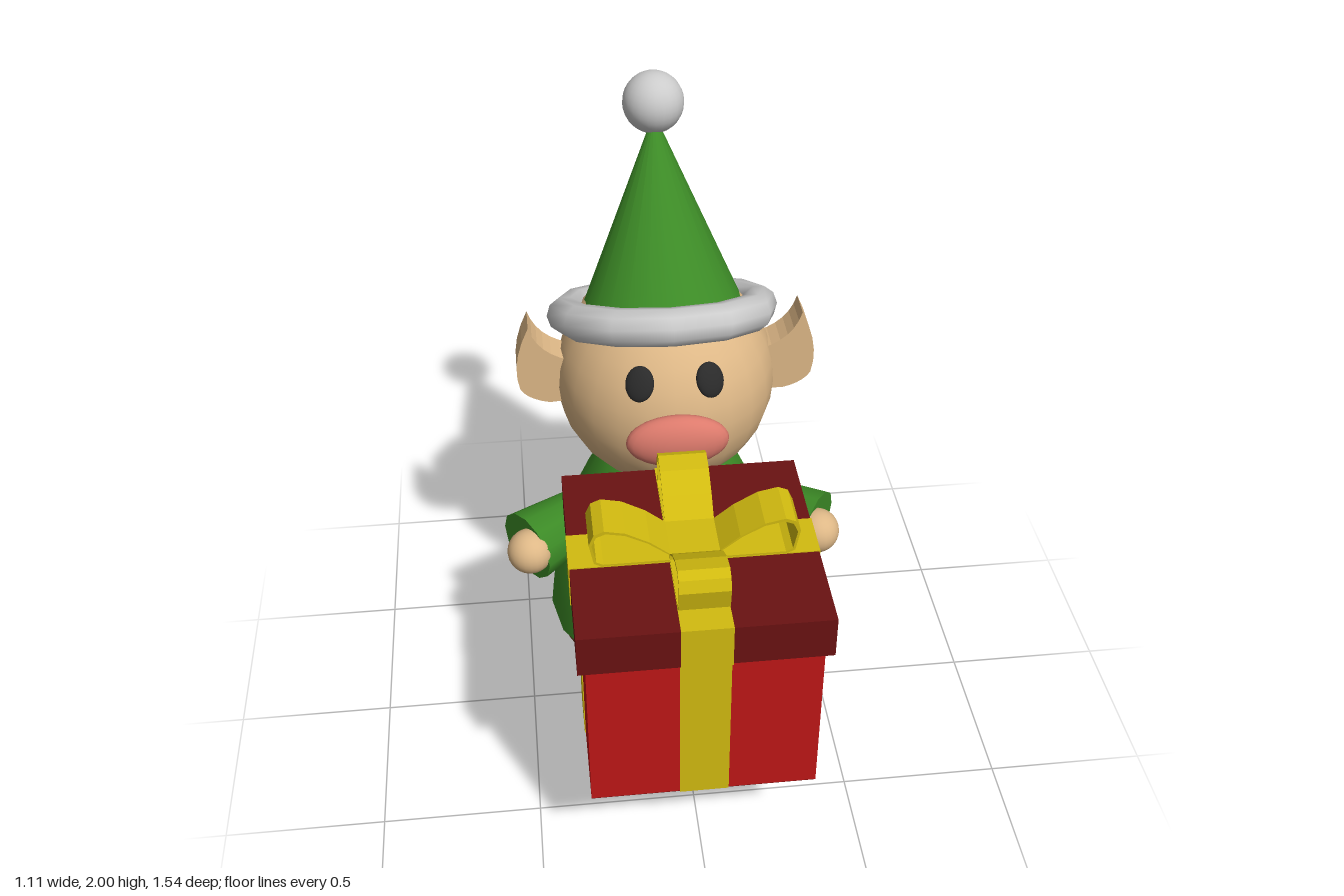
import * as THREE from 'three';

const material = (color, extra = {}) => new THREE.MeshStandardMaterial({ color, ...extra });
const mats = {
  green: material(0x3c8a26), skin: material(0xdeb887), trim: material(0xcccccc),
  brown: material(0x6b4226), dark: material(0x2a2a2a), nose: material(0xdc7a6c),
  red: material(0xbe1616), lid: material(0x6a1212), ribbon: material(0xd2bb10),
  bow: material(0xd2bb10, { flatShading: true }),
};

function add(parent, name, geometry, mat, x = 0, y = 0, z = 0) {
  const mesh = new THREE.Mesh(geometry, mat);
  mesh.name = name;
  mesh.position.set(x, y, z);
  parent.add(mesh);
  return mesh;
}

const box = (w, h, d) => new THREE.BoxGeometry(w, h, d);
const ellipsoid = (rx, ry, rz) => new THREE.SphereGeometry(1, 24, 16).scale(rx, ry, rz);
const UP = new THREE.Vector3(0, 1, 0);

// Smooth robe with a flat underside
function makeBody(root) {
  const profile = new THREE.SplineCurve([
    [0.415, 0.13], [0.385, 0.365], [0.315, 0.6], [0.215, 0.8], [0.15, 0.87],
  ].map(p => new THREE.Vector2(...p))).getPoints(10);
  add(root, 'robe', new THREE.LatheGeometry(profile, 16), mats.green, 0, 0, -0.345);
  add(root, 'robeBase', new THREE.CircleGeometry(0.415, 16).rotateX(Math.PI / 2).rotateY(Math.PI / 2),
    mats.green, 0, 0.13, -0.345);
}

function makeHead(root) {
  const centre = new THREE.Vector3(0, 1.1, -0.35);
  add(root, 'head', ellipsoid(0.355, 0.36, 0.36), mats.skin, ...centre);
  add(root, 'nose', ellipsoid(0.16, 0.09, 0.055), mats.nose, 0, 1.1, 0.03);

  // Ear outline for the left side, mirrored for the right
  const ear = new THREE.Shape();
  ear.moveTo(0.3, 1.05);
  ear.lineTo(0.38, 1.045);
  ear.quadraticCurveTo(0.45, 1.06, 0.472, 1.1);
  ear.quadraticCurveTo(0.5, 1.2, 0.436, 1.33);
  ear.quadraticCurveTo(0.415, 1.25, 0.34, 1.215);
  ear.lineTo(0.3, 1.2);

  for (const side of [1, -1]) {
    const eye = add(root, side > 0 ? 'leftEye' : 'rightEye', ellipsoid(0.045, 0.056, 0.02), mats.dark,
      side * 0.108, 1.265, -0.048);
    eye.lookAt(eye.position.clone().multiplyScalar(2).sub(centre));

    const earGeo = new THREE.ExtrudeGeometry(ear, { depth: 0.105, bevelEnabled: false, curveSegments: 5 });
    const earMesh = add(root, side > 0 ? 'leftEar' : 'rightEar', earGeo, mats.skin, 0, 0, side > 0 ? -0.4 : -0.295);
    earMesh.rotation.y = side > 0 ? 0 : Math.PI;
  }
}

// Leaning cone with a rolled brim and a ball at the tip
function makeHat(root) {
  const hat = new THREE.Group();
  hat.name = 'hat';
  hat.position.set(0, 1.3, -0.41);
  hat.rotation.x = -0.385;
  root.add(hat);
  add(hat, 'hatCone', new THREE.ConeGeometry(0.27, 0.62, 24), mats.green, 0, 0.31, 0);
  add(hat, 'hatBrim', new THREE.TorusGeometry(0.313, 0.06, 10, 12).rotateX(Math.PI / 2), mats.trim);
  add(root, 'hatBall', ellipsoid(0.097, 0.097, 0.097), mats.trim, 0, 1.903, -0.66);
}

function makeLimbs(root) {
  for (const side of [1, -1]) {
    const label = side > 0 ? 'left' : 'right';
    // Sleeve widens from shoulder to cuff
    const shoulder = new THREE.Vector3(side * 0.24, 0.61, -0.285);
    const cuff = new THREE.Vector3(side * 0.487, 0.597, -0.112);
    const dir = cuff.clone().sub(shoulder);
    const sleeve = add(root, label + 'Sleeve', new THREE.CylinderGeometry(0.122, 0.09, dir.length(), 12),
      mats.green, ...shoulder.clone().add(cuff).multiplyScalar(0.5));
    sleeve.quaternion.setFromUnitVectors(UP, dir.normalize());
    add(root, label + 'Hand', ellipsoid(0.075, 0.075, 0.075), mats.skin, side * 0.477, 0.618, -0.062);
    add(root, label + 'Foot', ellipsoid(0.15, 0.065, 0.235), mats.brown, side * 0.235, 0.067, -0.345);
  }
}

function makeGift(root) {
  const gift = new THREE.Group();
  gift.name = 'gift';
  gift.position.z = 0.41;
  root.add(gift);
  add(gift, 'giftBox', box(0.68, 0.56, 0.68), mats.red, 0, 0.605, 0);
  add(gift, 'giftUnderside', box(0.679, 0.004, 0.679), mats.lid, 0, 0.325, 0);
  add(gift, 'giftLid', box(0.726, 0.136, 0.726), mats.lid, 0, 0.938, 0);

  // Crossed ribbon bands around box and lid
  for (const turn of [0, Math.PI / 2]) {
    add(gift, 'boxRibbon', box(0.148, 0.558, 0.686), mats.ribbon, 0, 0.602, 0).rotation.y = turn;
    add(gift, 'lidRibbon', box(0.148, 0.142, 0.732), mats.ribbon, 0, 0.938, 0).rotation.y = turn;
  }

  // Four hollow bow loops around a flat knot
  const outline = [
    [0.03, 1.008], [0.27, 1.008], [0.292, 1.02], [0.305, 1.09], [0.29, 1.125],
    [0.26, 1.138], [0.2, 1.125], [0.13, 1.085], [0.07, 1.035],
  ].map(p => new THREE.Vector2(...p));
  const middle = new THREE.Vector2(0.205, 1.06);
  const loop = new THREE.Shape(outline);
  loop.holes.push(new THREE.Path(outline.map(p => new THREE.Vector2(
    middle.x + (p.x - middle.x) * 0.92, middle.y + (p.y - middle.y) * 0.87))));
  const loopGeo = new THREE.ExtrudeGeometry(loop, { depth: 0.146, bevelEnabled: false });
  loopGeo.translate(0, 0, -0.073);
  for (let i = 0; i < 4; i++) add(gift, 'bowLoop', loopGeo, mats.bow).rotation.y = i * Math.PI / 2;
  add(gift, 'bowKnot', box(0.146, 0.03, 0.146), mats.ribbon, 0, 1.022, 0);
}

export function createModel() {
  const root = new THREE.Group();
  root.name = 'elfWithGift';
  makeBody(root);
  makeHead(root);
  makeHat(root);
  makeLimbs(root);
  makeGift(root);
  return root;
}
